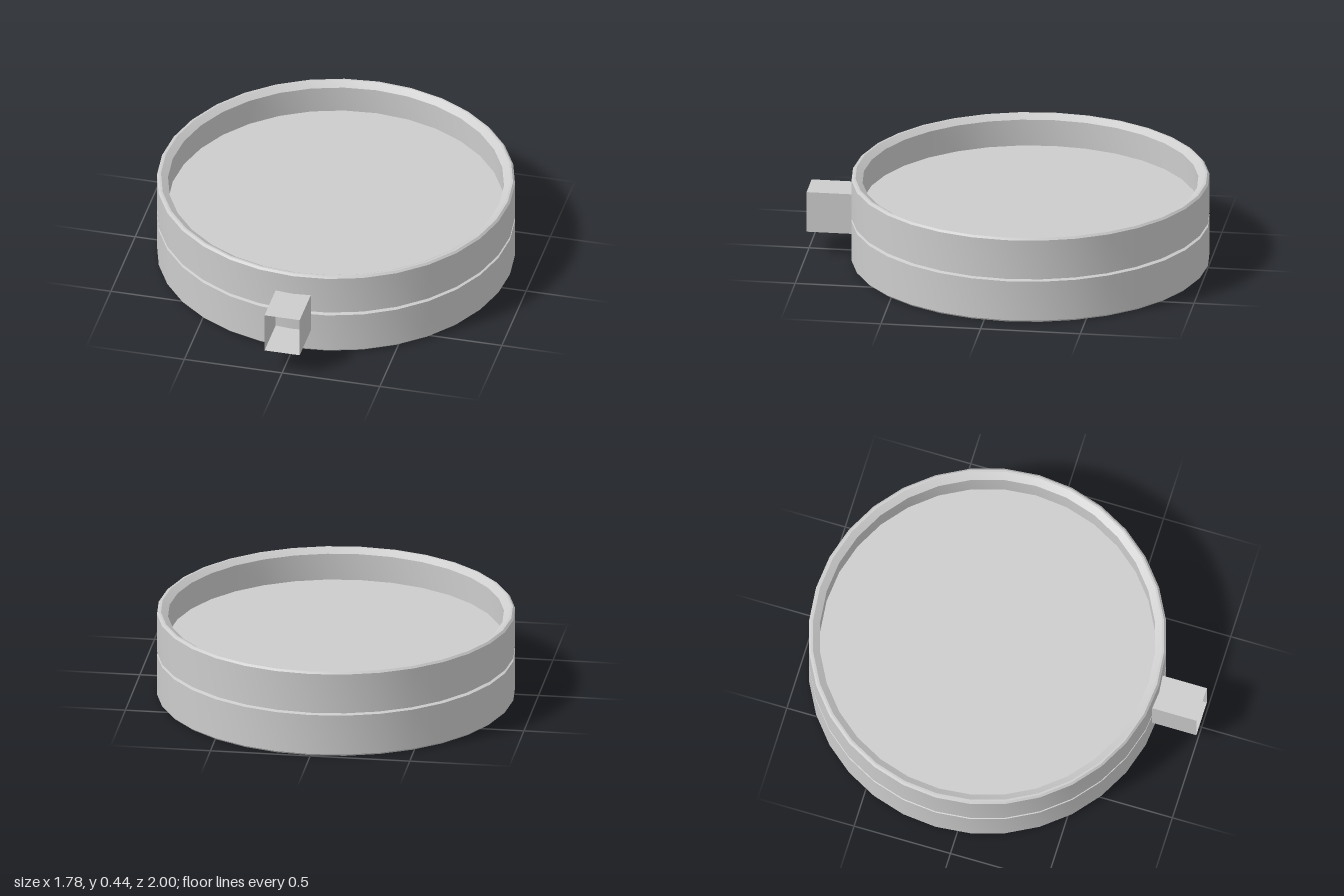
import * as THREE from 'three';
import { toCreasedNormals } from 'three/addons/utils/BufferGeometryUtils.js';

export function createModel() {
  const model = new THREE.Group();
  model.name = 'roundCase';
  const grey = new THREE.MeshStandardMaterial({ color: 0xcccccc, side: THREE.DoubleSide });
  grey.name = 'light grey';

  // Round body: chamfered halves, a seam groove and a recessed top
  const R = 0.89, c = 0.01;
  const profile = [
    [0, 0], [R - c, 0], [R, c],
    [R, 0.217], [R - 0.02, 0.222], [R - 0.02, 0.229], [R, 0.234], // seam
    [R, 0.445 - c], [R - c, 0.445], [0.87, 0.445],                // rim
    [0.835, 0.422], [0.835, 0.285], [0, 0.285],                   // recess
  ].map(([x, y]) => new THREE.Vector2(x, y));
  const body = new THREE.Mesh(
    toCreasedNormals(new THREE.LatheGeometry(profile, 32), 0.4), grey);
  body.name = 'body';
  body.position.z = -0.11;
  model.add(body);

  // Square tab at the front: an open sleeve of four thin walls
  const tab = new THREE.Group();
  tab.name = 'tab';
  const w = 0.18, h = 0.21, z0 = 0.765, z1 = 1;
  for (const s of [-1, 1]) {
    const side = new THREE.Mesh(new THREE.PlaneGeometry(z1 - z0, h), grey);
    side.name = s > 0 ? 'tabLeftWall' : 'tabRightWall';
    side.rotation.y = s * Math.PI / 2;
    side.position.x = s * w / 2;
    const flat = new THREE.Mesh(new THREE.PlaneGeometry(w, z1 - z0), grey);
    flat.name = s > 0 ? 'tabTop' : 'tabBottom';
    flat.rotation.x = -s * Math.PI / 2;
    flat.position.y = s * h / 2;
    tab.add(side, flat);
  }
  tab.position.set(0, 0.225, (z0 + z1) / 2);
  model.add(tab);

  return model;
}
